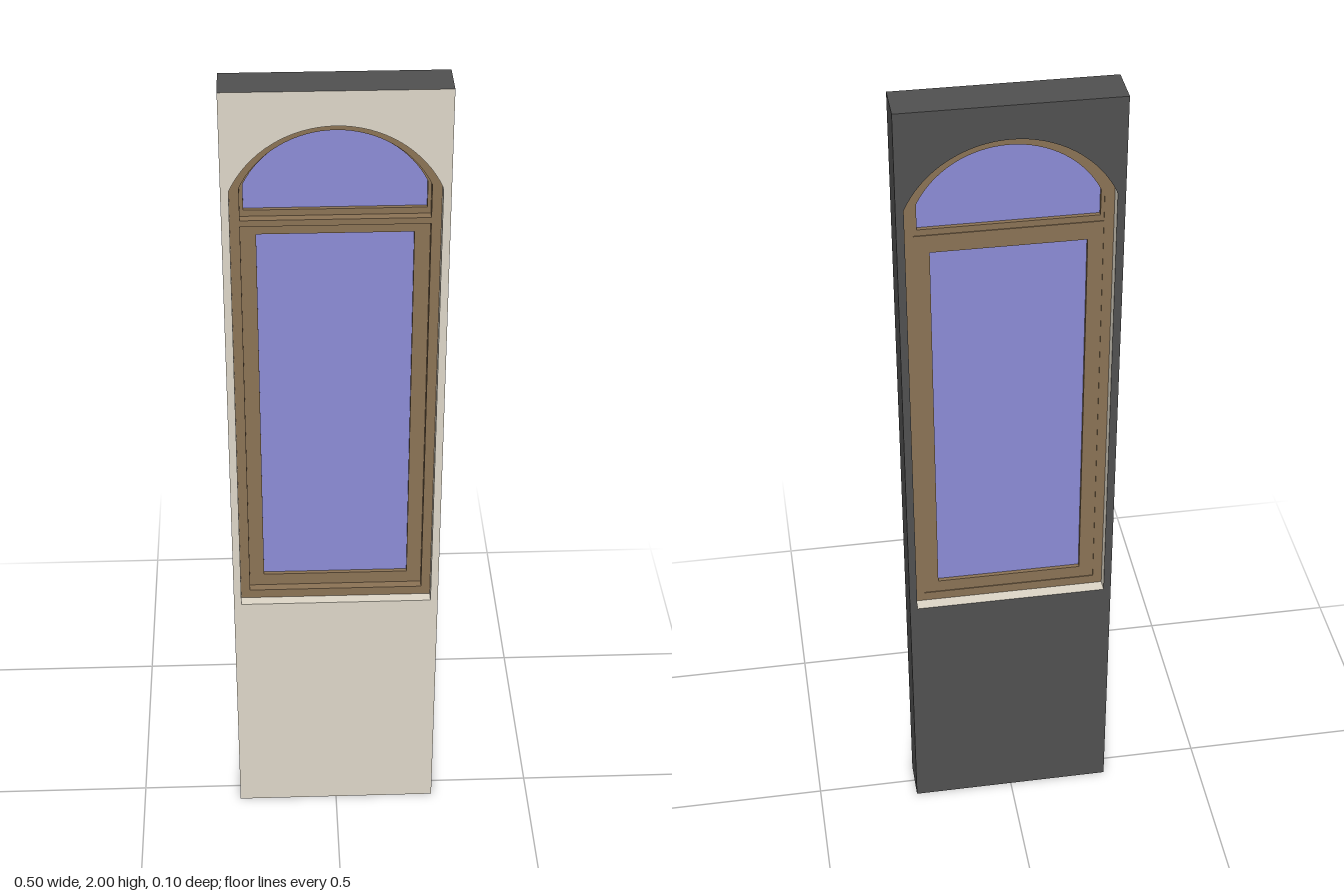
import * as THREE from 'three';

const HALF = 0.232, R = 0.254, CY = 1.666; // opening half width, arch radius and arch centre height
const mat = (color, side = THREE.FrontSide) => new THREE.MeshStandardMaterial({ color, side });

// outline points, counter-clockwise
function rectPoints(halfW, y0, y1) {
  return [[-halfW, y0], [halfW, y0], [halfW, y1], [-halfW, y1]].map(p => new THREE.Vector2(...p));
}
function archPoints(inset, bottom, n = 32) {
  const w = HALF - inset, r = R - inset;
  const a0 = Math.acos(w / r);
  const pts = [new THREE.Vector2(-w, bottom), new THREE.Vector2(w, bottom)];
  for (let i = 0; i <= n; i++) {
    const a = a0 + (Math.PI - 2 * a0) * i / n;
    pts.push(new THREE.Vector2(r * Math.cos(a), CY + r * Math.sin(a)));
  }
  return pts;
}
function shapeOf(outer, ...holes) {
  const s = new THREE.Shape(outer);
  s.holes = holes.map(h => new THREE.Path(h));
  return s;
}

// strip of quads along a closed outline, spanning z0 to z1
function ribbon(points, z0, z1) {
  const pos = [];
  points.forEach((a, i) => {
    const b = points[(i + 1) % points.length];
    pos.push(a.x, a.y, z0, b.x, b.y, z0, b.x, b.y, z1, a.x, a.y, z0, b.x, b.y, z1, a.x, a.y, z1);
  });
  const g = new THREE.BufferGeometry();
  g.setAttribute('position', new THREE.Float32BufferAttribute(pos, 3));
  g.computeVertexNormals();
  return g;
}

export function createModel() {
  const group = new THREE.Group();
  const plaster = mat(0xded7c8), dark = mat(0x505050), wood = mat(0x8b7355);
  const reveal = mat(0xded7c8, THREE.DoubleSide);
  const glass = mat(0x8c8cd6, THREE.DoubleSide);

  const add = (name, geometry, material, z = 0) => {
    const m = new THREE.Mesh(geometry, material);
    m.name = name;
    m.position.z = z;
    group.add(m);
    return m;
  };
  const slab = (name, shape, z0, z1) => add(name,
    new THREE.ExtrudeGeometry(shape, { depth: z1 - z0, bevelEnabled: false }), wood, z0);

  // wall panel: light front and opening, dark back and edges
  const wall = rectPoints(0.25, 0, 2), opening = archPoints(0, 0.645);
  const wallFace = new THREE.ShapeGeometry(shapeOf(wall, opening));
  add('wallFront', wallFace, plaster, 0.05);
  add('wallBack', wallFace, dark, -0.05).rotation.y = Math.PI;
  add('wallEdges', ribbon(wall, -0.05, 0.05), dark);
  add('openingReveal', ribbon([...opening].reverse(), -0.05, 0.05), reveal);

  // fixed frame with a transom between the two lights
  const upper = archPoints(0.022, 1.685), lower = rectPoints(0.21, 0.668, 1.67);
  slab('windowFrame', shapeOf(opening, upper, lower), -0.02, 0.023);

  // glazing bead of the arched light and sash of the lower light
  const upperPane = archPoints(0.03, 1.7), lowerPane = rectPoints(0.175, 0.7, 1.64);
  slab('archedBead', shapeOf(upper, upperPane), -0.018, 0.002);
  slab('lowerSash', shapeOf(lower, lowerPane), -0.018, 0.002);

  // glass panes
  add('archedGlass', new THREE.ShapeGeometry(shapeOf(upperPane)), glass, -0.008);
  add('lowerGlass', new THREE.ShapeGeometry(shapeOf(lowerPane)), glass, -0.008);

  return group;
}
